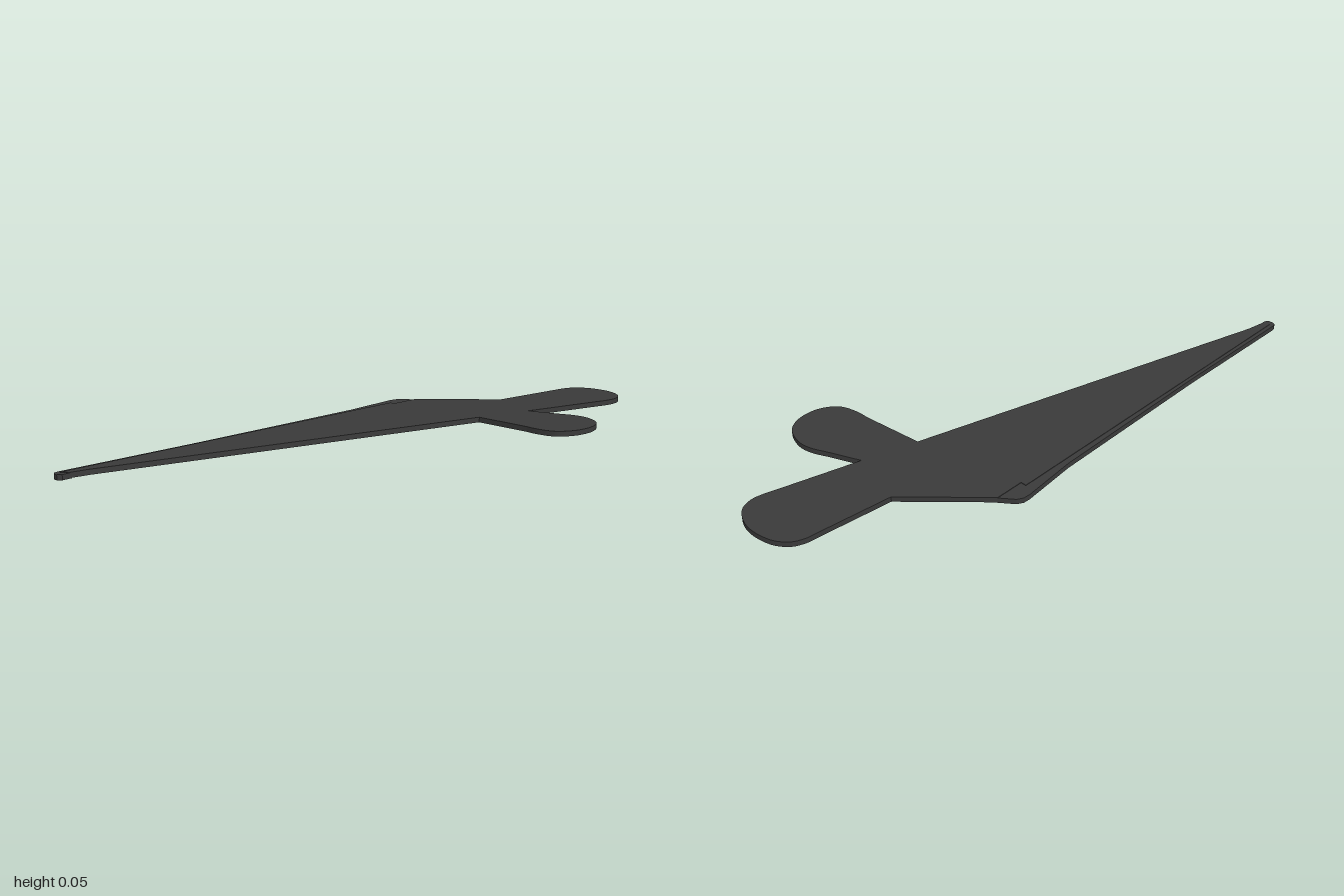
import * as THREE from 'three';

const THICK = 0.018, SLOPE = 0.0355, BASE = 0.0155;
const material = new THREE.MeshStandardMaterial({ color: 0x3a3a3a });

// Flat plate from an [x, z] outline, sheared so that it rises towards the front
function plate(name, shape, drop = 0) {
  const geo = new THREE.ExtrudeGeometry(shape, { depth: THICK, bevelEnabled: false, curveSegments: 24 });
  geo.rotateX(-Math.PI / 2);
  const p = geo.attributes.position;
  for (let i = 0; i < p.count; i++) p.setY(i, p.getY(i) + BASE - drop + SLOPE * p.getZ(i));
  geo.computeVertexNormals();
  const mesh = new THREE.Mesh(geo, material);
  mesh.name = name;
  return mesh;
}

const toVec = ([x, z]) => new THREE.Vector2(x, -z);
const polygon = (points) => new THREE.Shape(points.map(toVec));

// Lobe: straight root sides joined by a smooth rounded end
function lobe(root, end, close) {
  const shape = new THREE.Shape();
  shape.moveTo(root[0], -root[1]);
  shape.lineTo(end[0][0], -end[0][1]);
  shape.splineThru(end.slice(1).map(toVec));
  for (const [x, z] of close) shape.lineTo(x, -z);
  return shape;
}

export function createModel() {
  const group = new THREE.Group();
  group.name = 'flatWing';

  // Long tapering blade
  group.add(plate('blade', polygon([
    [-0.98, -0.343], [0.3, -0.349], [0.3, -0.33], [0.4, -0.33], [0.62, -0.11],
    [0.57, 0.08], [0.385, 0.03], [-0.9, -0.308], [-0.96, -0.318],
  ])));

  // Narrow strip along the straight back edge, set slightly lower
  group.add(plate('leadingEdge', polygon([
    [-0.98, -0.357], [-0.5, -0.356], [0.13, -0.367], [0.32, -0.385], [0.345, -0.384],
    [0.365, -0.373], [0.4, -0.33], [0.3, -0.33], [0.3, -0.349], [-0.96, -0.343],
    [-0.955, -0.318], [-0.985, -0.317], [-0.998, -0.327], [-1, -0.343], [-0.994, -0.354],
  ]), 0.0018));

  // Rounded lobes at the wide end
  group.add(plate('sideLobe', lobe([0.62, -0.11], [
    [0.87, -0.082], [0.91, -0.077], [0.95, -0.058], [0.982, -0.015], [0.996, 0.05],
    [0.988, 0.105], [0.96, 0.148], [0.92, 0.164], [0.88, 0.161], [0.835, 0.149],
  ], [[0.57, 0.08]])));
  group.add(plate('frontLobe', lobe([0.57, 0.08], [
    [0.618, 0.185], [0.641, 0.235], [0.647, 0.285], [0.628, 0.342], [0.59, 0.372],
    [0.54, 0.382], [0.485, 0.372], [0.438, 0.338], [0.418, 0.285], [0.413, 0.23],
  ], [[0.385, 0.03]])));

  return group;
}
